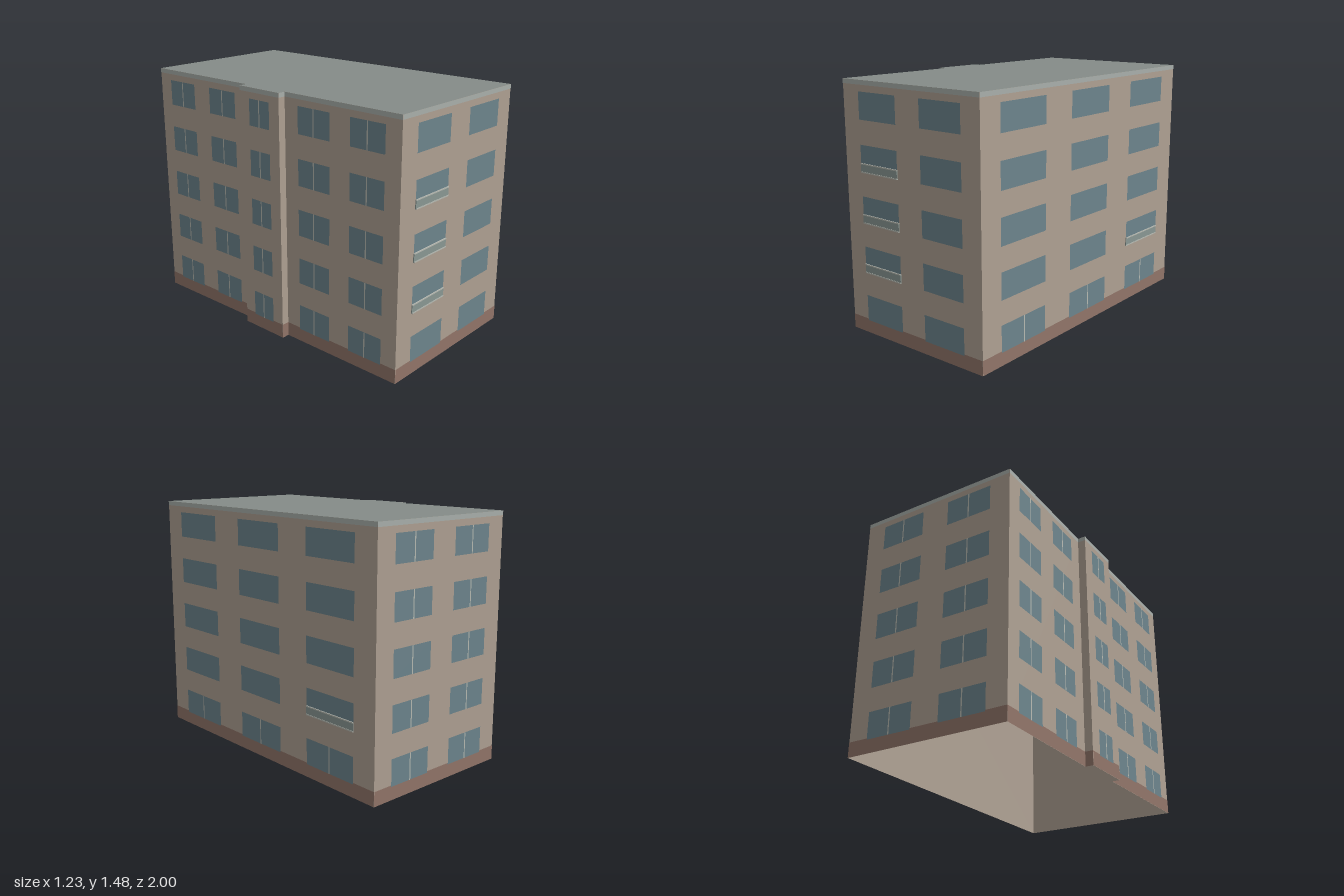
import * as THREE from 'three';

const HEIGHT = 1.475, BASE = 0.085, TRIM = 0.026;
const FLOORS = 5, FLOOR_STEP = 0.295, SILL = 0.077, WINDOW_H = 0.155;

const paint = (color, side = THREE.FrontSide) =>
  new THREE.MeshStandardMaterial({ color, side });

const mats = {
  wall: paint(0xb0a294, THREE.DoubleSide),
  roof: paint(0x858c88, THREE.DoubleSide),
  base: paint(0x93766a),
  trim: paint(0xabb1ad),
  glass: paint(0x6e868e),
  panel: paint(0x8b9995),
  rail: paint(0xb9bcb4),
};

// Footprint corners [x, z], anticlockwise seen from above
const corners = [
  [-0.615, 0.88], [0.395, 1.0], [0.612, -0.885], [-0.375, -1.0],
  [-0.468, -0.226], [-0.516, -0.232], [-0.558, 0.078], [-0.512, 0.084],
];

// Window columns as fractions of the wall's length
const pair = [[0.125, 0.412], [0.588, 0.875]];
const triple = [[0.078, 0.277], [0.4, 0.597], [0.721, 0.918]];
const single = [[0.25, 0.76]];

// One entry per wall; mullions(floor) tells which windows are split,
// balconies lists [column, floor]
const never = () => false, always = () => true;
const walls = [
  { name: 'frontWall', columns: pair, mullions: never, balconies: [[0, 1], [0, 2], [0, 3]] },
  { name: 'rightWall', columns: triple, mullions: (f) => f === 0, balconies: [[2, 1]] },
  { name: 'backWall', columns: pair, mullions: always },
  { name: 'leftWallRear', columns: pair, mullions: always },
  { name: 'bayRearReturn' },
  { name: 'bayWall', columns: single, mullions: always },
  { name: 'bayFrontReturn' },
  { name: 'leftWallFront', columns: pair, mullions: always },
];

// Upright rectangle in wall coordinates, at depth z in front of the wall
function sheet(parent, name, mat, x0, x1, y0, y1, z) {
  const mesh = new THREE.Mesh(new THREE.PlaneGeometry(x1 - x0, y1 - y0), mat);
  mesh.position.set((x0 + x1) / 2, (y0 + y1) / 2, z);
  mesh.name = name;
  parent.add(mesh);
}

// Thin block standing on the wall
function block(parent, name, mat, x0, x1, y0, y1, depth) {
  const mesh = new THREE.Mesh(new THREE.BoxGeometry(x1 - x0, y1 - y0, depth), mat);
  mesh.position.set((x0 + x1) / 2, (y0 + y1) / 2, depth / 2);
  mesh.name = name;
  parent.add(mesh);
}

// Glass guard with a light rail along its top and bottom
function balcony(parent, x0, x1, y) {
  const group = new THREE.Group();
  group.name = 'balcony';
  block(group, 'balconyPanel', mats.panel, x0, x1, y, y + 0.048, 0.006);
  block(group, 'bottomRail', mats.rail, x0, x1, y - 0.003, y + 0.004, 0.008);
  block(group, 'topRail', mats.rail, x0, x1, y + 0.045, y + 0.052, 0.008);
  parent.add(group);
}

// Wall group: local x runs along the wall, local z points outwards
function buildWall(spec, [ax, az], [bx, bz]) {
  const { name, columns = [], mullions = never, balconies = [] } = spec;
  const length = Math.hypot(bx - ax, bz - az);
  const group = new THREE.Group();
  group.name = name;
  group.position.set(ax, 0, az);
  group.rotation.y = Math.atan2(az - bz, bx - ax);

  sheet(group, 'wallFace', mats.wall, 0, length, 0, HEIGHT, 0);
  sheet(group, 'baseBand', mats.base, 0, length, 0, BASE, 0.0015);
  sheet(group, 'roofTrim', mats.trim, 0, length, HEIGHT - TRIM, HEIGHT, 0.0015);

  for (const [t0, t1] of columns) {
    const x0 = t0 * length, x1 = t1 * length, mid = (x0 + x1) / 2;
    for (let f = 0; f < FLOORS; f++) {
      const y = SILL + f * FLOOR_STEP;
      sheet(group, 'window', mats.glass, x0, x1, y, y + WINDOW_H, 0.003);
      if (mullions(f)) {
        sheet(group, 'mullion', mats.rail, mid - 0.004, mid + 0.004, y, y + WINDOW_H, 0.0045);
      }
    }
  }
  for (const [column, floor] of balconies) {
    const [t0, t1] = columns[column];
    balcony(group, t0 * length, t1 * length, SILL + floor * FLOOR_STEP);
  }
  return group;
}

export function createModel() {
  const model = new THREE.Group();
  model.name = 'apartmentBlock';

  walls.forEach((spec, i) => {
    model.add(buildWall(spec, corners[i], corners[(i + 1) % corners.length]));
  });

  // Flat roof over the whole footprint; the underside stays open
  const outline = new THREE.Shape(corners.map(([x, z]) => new THREE.Vector2(x, -z)));
  const roof = new THREE.Mesh(new THREE.ShapeGeometry(outline).rotateX(-Math.PI / 2), mats.roof);
  roof.position.y = HEIGHT;
  roof.name = 'roof';
  model.add(roof);

  return model;
}
